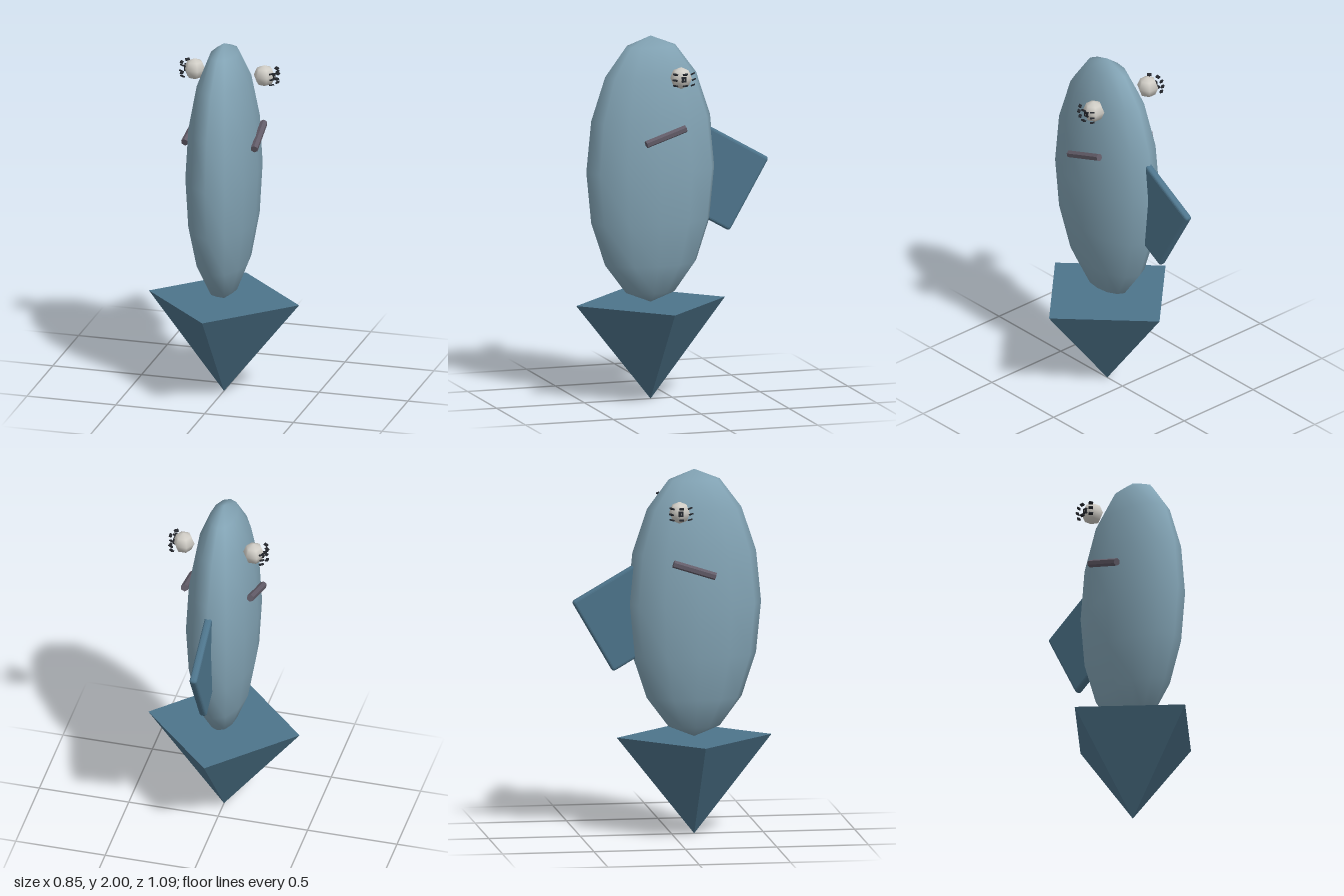
import * as THREE from 'three';
import { RoundedBoxGeometry } from 'three/addons/geometries/RoundedBoxGeometry.js';

const material = (name, color, flatShading = false) => {
  const m = new THREE.MeshStandardMaterial({ color, flatShading });
  m.name = name;
  return m;
};

export function createModel() {
  const model = new THREE.Group();
  model.name = 'fish';
  const skin = material('pale blue skin', 0x82a3b4);
  const finBlue = material('deep blue fin', 0x4d748b, true);
  const white = material('eye white', 0xd2cfc8);
  const lip = material('mauve lip', 0x625c68, true);
  const black = material('eye black', 0x24272d, true);

  const add = (parent, name, geometry, mat, x, y, z) => {
    const mesh = new THREE.Mesh(geometry, mat);
    mesh.name = name;
    mesh.position.set(x, y, z);
    parent.add(mesh);
    return mesh;
  };

  // Tall flattened body
  add(model, 'body', new THREE.SphereGeometry(1, 12, 8), skin, 0, 1.267, 0.123)
    .scale.set(0.19, 0.733, 0.366);

  // Upside-down pyramid tail
  add(model, 'tail', new THREE.ConeGeometry(0.423, 0.535, 4), finBlue, 0, 0.2675, 0.123)
    .rotation.x = Math.PI;

  // Bevelled plate fin, tilted, inner half sunk into the body
  add(model, 'backFin', new RoundedBoxGeometry(0.042, 0.45, 0.45, 2, 0.016), finBlue, 0, 1.206, -0.24)
    .rotation.x = -Math.PI / 6;

  for (const side of [1, -1]) {
    const label = side > 0 ? 'left' : 'right';

    // Slanted mouth bar on the flank
    const mouth = add(model, label + 'Mouth', new THREE.CylinderGeometry(0.021, 0.021, 0.24, 6), lip, side * 0.19, 1.476, 0.097);
    mouth.quaternion.setFromUnitVectors(
      new THREE.Vector3(0, 1, 0),
      new THREE.Vector3(side * 0.05, -0.3, 0.95).normalize()
    );

    // Eyeball with a small pupil
    const eye = new THREE.Group();
    eye.name = label + 'Eye';
    eye.position.set(side * 0.196, 1.795, 0.014);
    model.add(eye);
    add(eye, 'eyeball', new THREE.SphereGeometry(0.06, 6, 4), white, 0, 0, 0);
    add(eye, 'pupil', new THREE.BoxGeometry(0.016, 0.03, 0.026), black, side * 0.05, 0, 0);

    // Small tiles floating in an arc outside the eye
    for (const azimuth of [-42, 0, 42]) {
      for (const elevation of [-23, 0, 23]) {
        if (azimuth === 0 && elevation === 0) continue;
        const a = THREE.MathUtils.degToRad(azimuth);
        const e = THREE.MathUtils.degToRad(elevation);
        const out = new THREE.Vector3(side * Math.cos(a) * Math.cos(e), Math.sin(e), Math.sin(a) * Math.cos(e));
        const tile = add(eye, 'eyeTile', new THREE.BoxGeometry(0.024, 0.016, 0.008), black, 0, 0, 0);
        tile.lookAt(out);
        tile.position.copy(out).multiplyScalar(0.08);
      }
    }
  }
  return model;
}
